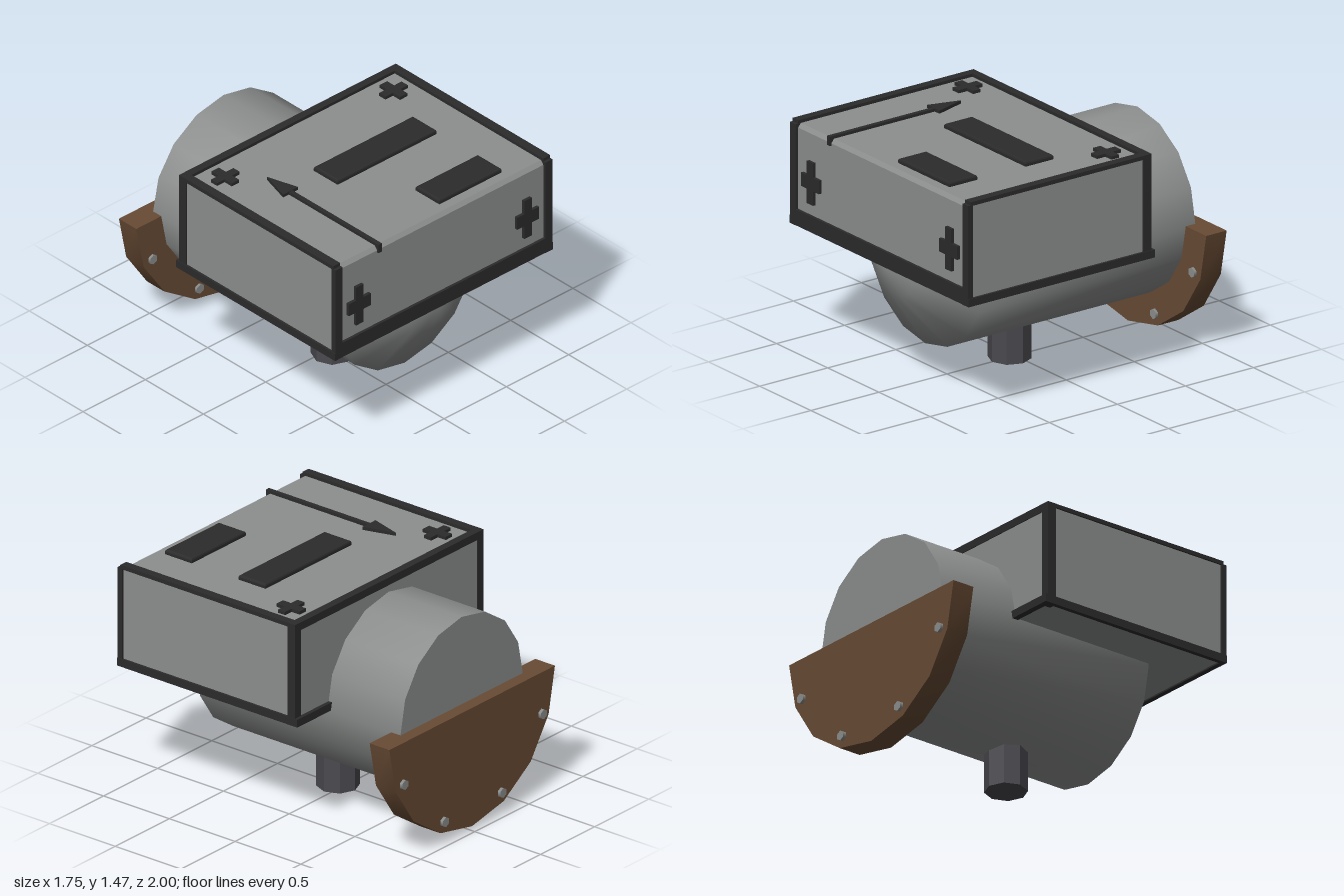
import * as THREE from 'three';
import { toCreasedNormals } from 'three/addons/utils/BufferGeometryUtils.js';

const mat = (name, color) => {
  const m = new THREE.MeshStandardMaterial({ color });
  m.name = name;
  return m;
};

export function createModel() {
  const grey = mat('grey metal', 0x8c8f8d);
  const dark = mat('dark trim', 0x2b2b2b);
  const brown = mat('brown flange', 0x684b34);
  const slate = mat('slate foot', 0x4a494f);
  const model = new THREE.Group();
  model.name = 'boxedTank';

  const add = (name, geometry, material, parent = model) => {
    const mesh = new THREE.Mesh(geometry, material);
    mesh.name = name;
    parent.add(mesh);
    return mesh;
  };
  // Box given by its minimum and maximum corners
  const block = (name, x0, x1, y0, y1, z0, z1, material, parent = model) => {
    const mesh = add(name, new THREE.BoxGeometry(x1 - x0, y1 - y0, z1 - z0), material, parent);
    mesh.position.set((x0 + x1) / 2, (y0 + y1) / 2, (z0 + z1) / 2);
    return mesh;
  };
  const shapeOf = (pts) => new THREE.Shape(pts.map(([x, y]) => new THREE.Vector2(x, y)));
  const extrude = (pts, depth) =>
    new THREE.ExtrudeGeometry(shapeOf(pts), { depth, bevelEnabled: false });

  // Horizontal tank with a blunt nose and a flat back
  const tankProfile = [[0, -0.9], [0.565, -0.9], [0.565, 0.66], [0.215, 0.895], [0, 0.965]];
  const tank = new THREE.LatheGeometry(tankProfile.map(([r, z]) => new THREE.Vector2(r, z)), 16);
  tank.rotateX(Math.PI / 2);
  add('tank', toCreasedNormals(tank, 1.1), grey).position.y = 0.795;

  // Half-disc flange at the back
  const rim = [];
  for (let i = 0; i <= 8; i++) {
    const a = Math.PI + (i * Math.PI) / 8;
    rim.push([0.765 * Math.cos(a), 0.765 * Math.sin(a)]);
  }
  add('flange', toCreasedNormals(extrude(rim, 0.15), 0.6), brown).position.set(0, 0.795, -0.98);

  // Bolts through the flange
  for (const s of [-1, 1]) {
    for (const [x, y] of [[0.64, 0.53], [0.265, 0.155]]) {
      const bolt = add('bolt', new THREE.CylinderGeometry(0.032, 0.032, 0.186, 6), grey);
      bolt.rotation.x = Math.PI / 2;
      bolt.position.set(s * x, y, -0.907);
    }
  }

  // Octagonal foot
  const foot = new THREE.CylinderGeometry(0.13, 0.13, 0.3, 8);
  add('foot', toCreasedNormals(foot, 0.3), slate).position.set(0, 0.15, 0.04);

  // Housing, with a chamfer along the top front edge
  const side = [[-0.98, 0.81], [0.345, 0.81], [0.345, 1.435], [-0.96, 1.435], [-0.98, 1.41]];
  const housing = extrude(side, 1.72);
  housing.rotateY(Math.PI / 2);
  add('housing', housing, grey).position.x = -0.86;

  // Dark frame
  const frame = new THREE.Group();
  frame.name = 'frame';
  model.add(frame);
  for (const s of [-1, 1]) {
    const [a, b] = s > 0 ? [0.815, 0.87] : [-0.87, -0.815];
    block('frontPost', a, b, 0.8, 1.435, 0.965, 1, dark, frame);
    block('rearPost', a, b, 0.8, 1.455, -0.35, -0.29, dark, frame);
    block('topRail', a, b, 1.43, 1.455, -0.35, 0.98, dark, frame);
    block('bottomRail', s > 0 ? 0.845 : -0.875, s > 0 ? 0.875 : -0.845,
      0.8, 0.85, -0.37, 1, dark, frame);
  }
  block('rearTopRail', -0.87, 0.87, 1.405, 1.455, -0.35, -0.3, dark, frame);
  block('rearBottomRail', -0.87, 0.87, 0.8, 0.85, -0.37, -0.33, dark, frame);
  block('frontBottomRail', -0.87, 0.87, 0.8, 0.9, 0.965, 0.998, dark, frame);

  // Plus marks on the front and the top
  const plus = (w, h, bw, bh) => [[bw, -h], [bw, -bh], [w, -bh], [w, bh], [bw, bh], [bw, h],
    [-bw, h], [-bw, bh], [-w, bh], [-w, -bh], [-bw, -bh], [-bw, -h]];
  for (const s of [-1, 1]) {
    add('frontPlus', extrude(plus(0.088, 0.133, 0.03, 0.042), 0.03), dark)
      .position.set(s * 0.675, 1.107, 0.97);
    const top = add('topPlus', extrude(plus(0.09, 0.088, 0.03, 0.027), 0.03), dark);
    top.rotation.x = -Math.PI / 2;
    top.position.set(s * 0.675, 1.425, -0.16);
  }

  // Raised slabs with bevelled edges
  const slab = (x0, x1, z0, z1) => {
    const b = 0.012;
    const geo = new THREE.ExtrudeGeometry(
      shapeOf([[x0 + b, -z1 + b], [x1 - b, -z1 + b], [x1 - b, -z0 - b], [x0 + b, -z0 - b]]),
      { depth: 0.015, bevelSize: b, bevelThickness: b, bevelSegments: 2 });
    geo.rotateX(-Math.PI / 2);
    add('slab', geo, dark).position.y = 1.438;
  };
  slab(-0.24, 0.555, 0.135, 0.34);
  slab(0.055, 0.555, 0.695, 0.9);

  // Arrow pointing to the back, its shaft bent over the front edge
  const arrow = new THREE.Group();
  arrow.name = 'arrow';
  model.add(arrow);
  block('arrowShaft', -0.519, -0.491, 1.425, 1.453, 0.2, 0.985, dark, arrow);
  block('arrowTail', -0.519, -0.491, 1.395, 1.453, 0.965, 0.992, dark, arrow);
  const head = add('arrowHead', extrude([[-0.06, -0.22], [0.06, -0.22], [0, -0.015]], 0.03), dark, arrow);
  head.rotation.x = -Math.PI / 2;
  head.position.set(-0.505, 1.425, 0);
  head.scale.y = 1;

  return model;
}
